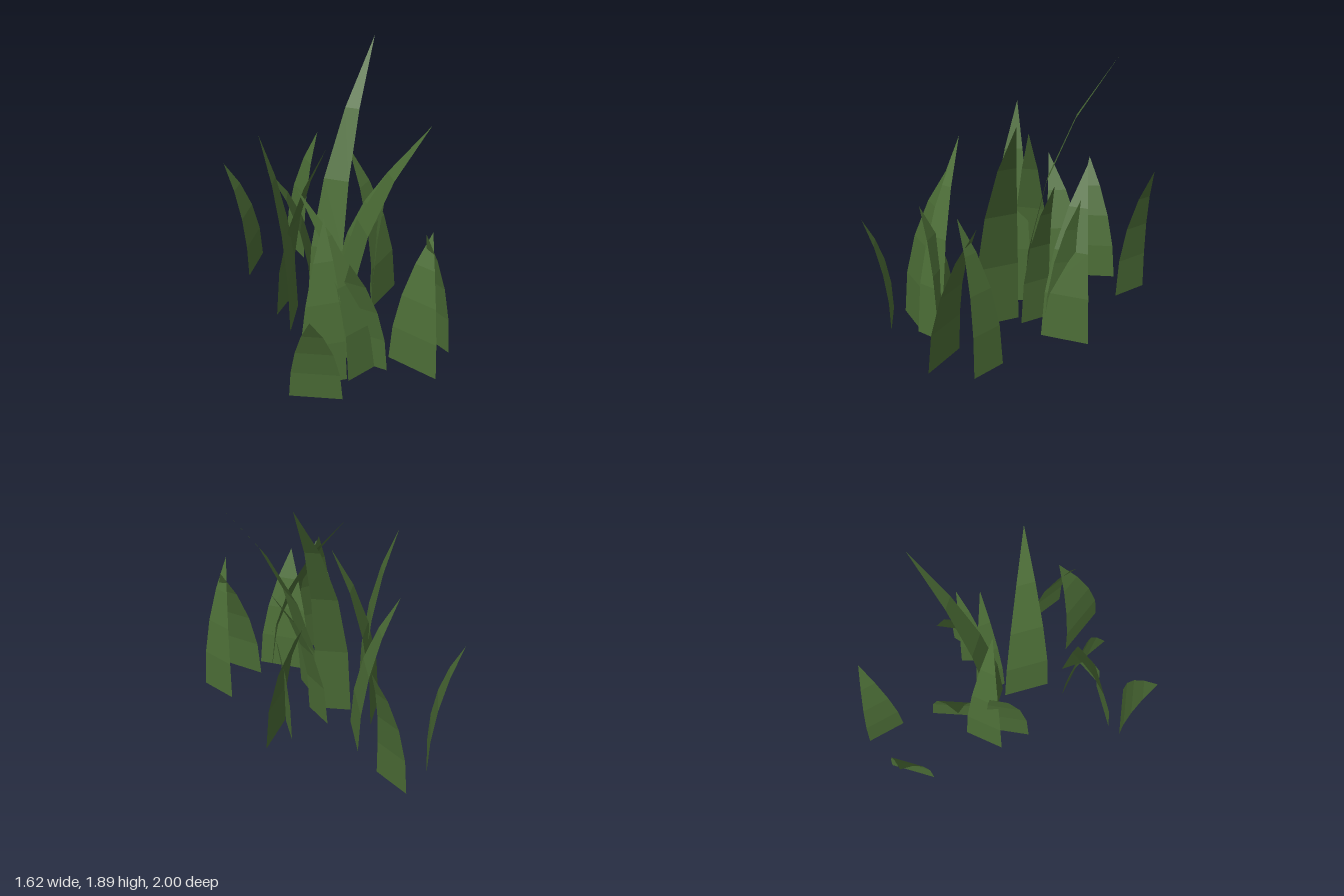
import * as THREE from 'three';

// Each blade: base corner A (x, z), base corner B (x, z), tip (x, y, z)
const BLADES = [
  [-0.40, -1.00, -0.25, -0.77, -0.155, 0.97, -0.99],
  [-0.57, -0.82, -0.64, -0.51, -0.81, 0.87, -0.66],
  [-0.16, -0.56, -0.16, -0.24, -0.46, 1.03, -0.305],
  [-0.28, 0.15, -0.25, -0.16, -0.48, 1.41, -0.085],
  [-0.29, -0.30, -0.39, -0.04, -0.04, 1.31, -0.11],
  [-0.18, -0.12, 0.06, -0.06, 0.255, 1.89, -0.635],
  [0.00, -0.25, 0.10, -0.05, 0.37, 1.09, -0.225],
  [0.44, -0.45, 0.28, -0.16, 0.09, 1.13, -0.485],
  [0.26, -0.38, 0.28, -0.18, 0.395, 1.00, -0.39],
  [0.01, -0.04, 0.12, 0.27, 0.63, 1.57, 0.045],
  [0.63, 0.13, 0.805, 0.325, 0.61, 1.00, 0.405],
  [0.40, 0.39, 0.71, 0.605, 0.66, 0.94, 0.29],
  [-0.18, 0.73, 0.13, 0.63, -0.03, 1.10, 0.42],
  [0.14, 0.65, 0.31, 0.49, -0.20, 1.26, 0.335],
  [0.045, 0.38, 0.39, 0.53, 0.14, 0.90, 0.62],
  [-0.235, 0.81, 0.11, 0.83, -0.085, 0.73, 1.00],
];
const SEGMENTS = 4;

// Flat ribbon that narrows to a point and bends over towards its tip
function bladeGeometry([ax, az, bx, bz, tx, ty, tz]) {
  const cx = (ax + bx) / 2, cz = (az + bz) / 2;
  const hx = (bx - ax) / 2, hz = (bz - az) / 2;
  const points = [], index = [];
  for (let i = 0; i <= SEGMENTS; i++) {
    const t = i / SEGMENTS;
    const width = 1 - Math.pow(t, 1.75);
    const bend = t * t;
    const x = cx + (tx - cx) * bend;
    const z = cz + (tz - cz) * bend;
    const y = ty * t * (1.13 - 0.13 * t);
    points.push(x - hx * width, y, z - hz * width);
    if (i < SEGMENTS) points.push(x + hx * width, y, z + hz * width);
  }
  for (let i = 0; i < SEGMENTS; i++) {
    const a = i * 2;
    index.push(a, a + 1, a + 2);
    if (i < SEGMENTS - 1) index.push(a + 1, a + 3, a + 2);
  }
  const geometry = new THREE.BufferGeometry();
  geometry.setAttribute('position', new THREE.Float32BufferAttribute(points, 3));
  geometry.setIndex(index);
  const flat = geometry.toNonIndexed();
  flat.computeVertexNormals();
  return flat;
}

export function createModel() {
  const group = new THREE.Group();
  group.name = 'grassTuft';
  const green = new THREE.MeshStandardMaterial({
    name: 'grassGreen', color: 0x4a6b35, side: THREE.DoubleSide, flatShading: true,
  });
  BLADES.forEach((blade, i) => {
    const mesh = new THREE.Mesh(bladeGeometry(blade), green);
    mesh.name = `grassBlade${i + 1}`;
    group.add(mesh);
  });
  return group;
}
